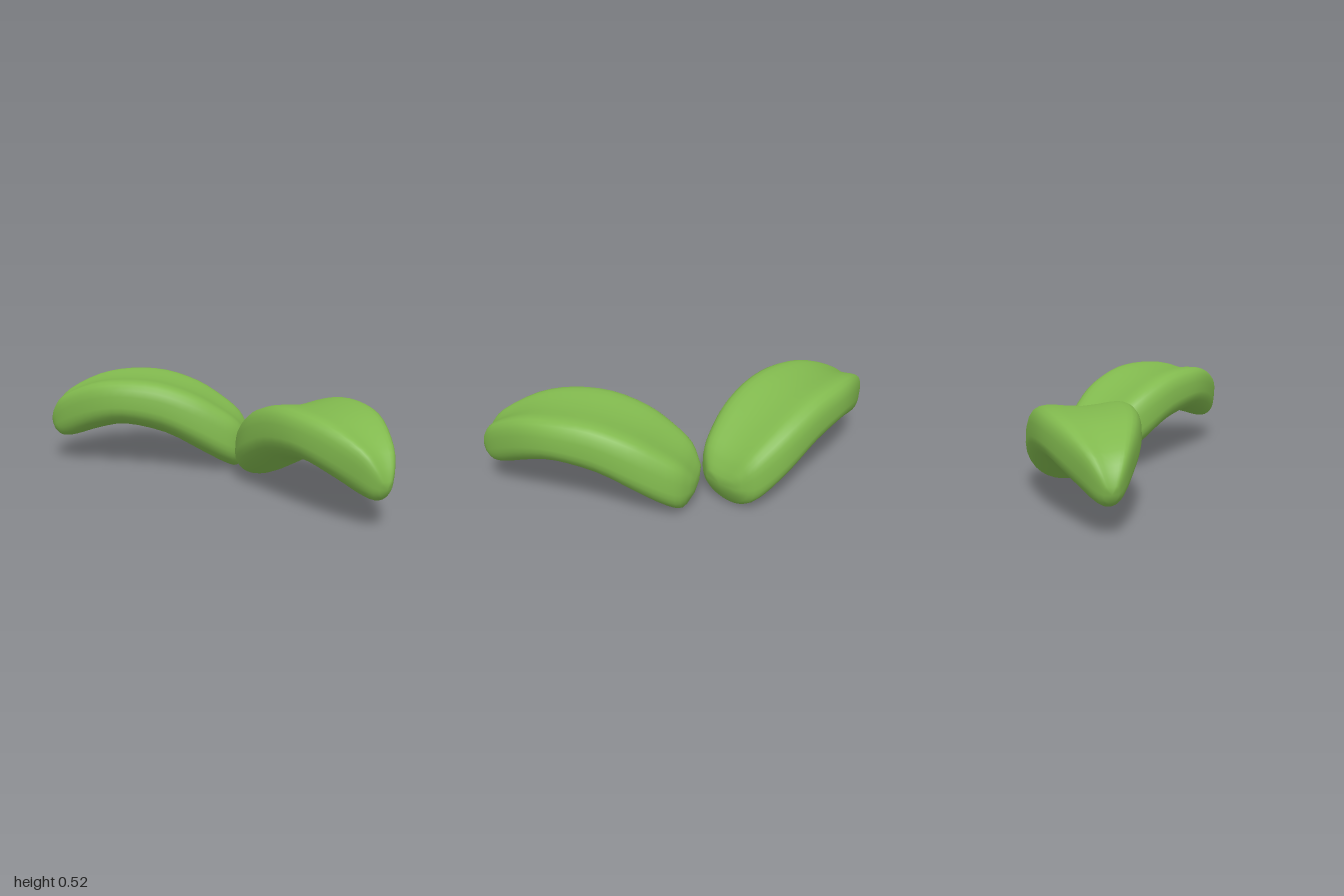
import * as THREE from 'three';

// Stations from blunt base to narrow tip:
// [upper z, upper y, lower z, lower y, half width]
const STATIONS = [
  [0.00, 0.18, 0.01, 0.08, 0.10],
  [0.06, 0.28, 0.06, 0.00, 0.18],
  [0.17, 0.365, 0.13, 0.015, 0.225],
  [0.31, 0.445, 0.26, 0.085, 0.257],
  [0.50, 0.505, 0.46, 0.19, 0.265],
  [0.70, 0.515, 0.69, 0.238, 0.25],
  [0.88, 0.487, 0.85, 0.208, 0.20],
  [1.05, 0.405, 1.00, 0.158, 0.12],
  [1.115, 0.325, 1.08, 0.15, 0.07],
  [1.138, 0.26, 1.12, 0.18, 0.035],
];
const SIDES = 32;
const RINGS = 27;

// Arched leaf: dished top with raised lips, rounded underside
function leafGeometry() {
  const pos = [];
  const index = [];
  const power = (v, e) => Math.sign(v) * Math.abs(v) ** e;
  const smooth = (pick) =>
    new THREE.CatmullRomCurve3(STATIONS.map(pick), false, 'catmullrom', 0.5);
  const upper = smooth(([uz, uy, , , half]) => new THREE.Vector3(half, uy, uz));
  const lower = smooth(([, , lz, ly, half]) => new THREE.Vector3(half, ly, lz));

  for (let i = 0; i <= RINGS; i++) {
    const u = upper.getPoint(i / RINGS);
    const l = lower.getPoint(i / RINGS);
    for (let j = 0; j < SIDES; j++) {
      const a = (j / SIDES) * Math.PI * 2;
      const s = Math.sin(a);
      const across = power(Math.cos(a), s > 0 ? 0.72 : 0.97);
      const f = s > 0
        ? 1.46 * power(s, 0.72) * (1 - 0.39 * (1 - across ** 2))
        : power(s, 0.97);
      pos.push(
        u.x * across,
        (u.y + l.y) / 2 + (f * (u.y - l.y)) / 2,
        (u.z + l.z) / 2 + (f * (u.z - l.z)) / 2,
      );
    }
  }
  for (let i = 0; i < RINGS; i++) {
    for (let j = 0; j < SIDES; j++) {
      const k = (j + 1) % SIDES;
      const a = i * SIDES + j, b = i * SIDES + k;
      index.push(a, b, a + SIDES, b, b + SIDES, a + SIDES);
    }
  }
  // Rounded end caps
  const base = pos.length / 3;
  pos.push(0, 0.13, -0.006, 0, 0.22, 1.142);
  for (let j = 0; j < SIDES; j++) {
    const k = (j + 1) % SIDES;
    index.push(base, k, j, base + 1, RINGS * SIDES + j, RINGS * SIDES + k);
  }
  const geometry = new THREE.BufferGeometry();
  geometry.setAttribute('position', new THREE.Float32BufferAttribute(pos, 3));
  geometry.setIndex(index);
  geometry.computeVertexNormals();
  return geometry;
}

export function createModel() {
  const group = new THREE.Group();
  group.name = 'leafPair';
  const leafGreen = new THREE.MeshStandardMaterial({ color: 0x81b94e });
  leafGreen.name = 'leafGreen';
  const geometry = leafGeometry();

  // Each leaf runs from its base point in the ground-plane direction [dx, dz]
  const addLeaf = (name, x, z, dx, dz) => {
    const leaf = new THREE.Mesh(geometry, leafGreen);
    leaf.name = name;
    leaf.position.set(x, 0, z);
    leaf.rotation.y = Math.atan2(dx, dz);
    group.add(leaf);
  };
  addLeaf('rightLeaf', 0.125, -0.373, -0.985, 0.173);
  addLeaf('leftLeaf', 0.197, -0.279, 0.68, 0.73);
  return group;
}
